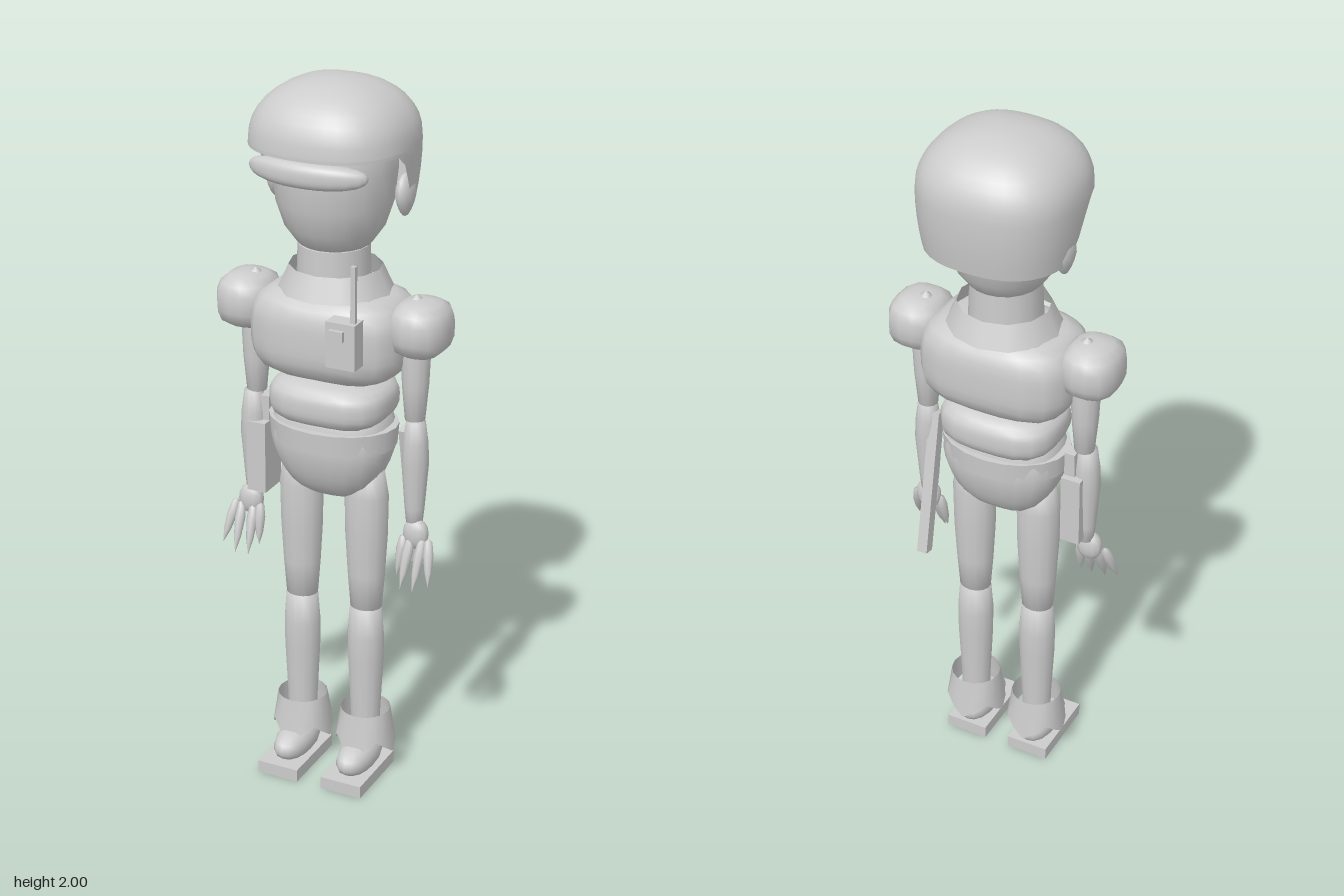
import * as THREE from 'three';
import { mergeVertices } from 'three/addons/utils/BufferGeometryUtils.js';

export function createModel() {
  const model = new THREE.Group();
  model.name = 'helmetedFigure';
  const grey = new THREE.MeshStandardMaterial({ color: 0xcccccc, side: THREE.DoubleSide });
  grey.name = 'light grey';

  const add = (name, geo, x = 0, y = 0, z = 0, parent = model) => {
    const mesh = new THREE.Mesh(geo, grey);
    mesh.name = name;
    mesh.position.set(x, y, z);
    parent.add(mesh);
    return mesh;
  };

  // Weld and smooth a geometry after its vertices were moved
  const smooth = (geo) => {
    geo.deleteAttribute('uv');
    geo.deleteAttribute('normal');
    const welded = mergeVertices(geo, 1e-5);
    welded.computeVertexNormals();
    return welded;
  };

  // Puffy block: a sphere pushed outward towards a box, with an optional taper at the bottom
  const puff = (rx, ry, rz, n = 3, taper = 0, seg = 24) => {
    const geo = new THREE.SphereGeometry(1, seg, Math.round(seg * 0.7));
    const p = geo.attributes.position;
    for (let i = 0; i < p.count; i++) {
      const [x, y, z] = [p.getX(i), p.getY(i), p.getZ(i)];
      const k = (Math.abs(x) ** n + Math.abs(y) ** n + Math.abs(z) ** n) ** (-1 / n);
      const t = 1 - taper * Math.max(0, -y * k);
      p.setXYZ(i, x * k * rx * t, y * k * ry, z * k * rz * t);
    }
    return smooth(geo);
  };

  const lathe = (pts, seg = 14) =>
    new THREE.LatheGeometry(pts.map(([r, y]) => new THREE.Vector2(r, y)), seg);

  // Tapered spindle between two points
  const spindle = (name, a, b, r, parent) => {
    const A = new THREE.Vector3(...a), B = new THREE.Vector3(...b);
    const len = A.distanceTo(B);
    const geo = lathe([[0, 0], [r * 0.75, len * 0.08], [r, len * 0.35], [r * 0.7, len * 0.7], [0, len]], 8);
    const mesh = add(name, geo, ...a, parent);
    mesh.quaternion.setFromUnitVectors(new THREE.Vector3(0, 1, 0), B.sub(A).normalize());
    return mesh;
  };

  // Head, ears and neck
  add('head', lathe([[0, 1.54], [0.07, 1.545], [0.1, 1.565], [0.132, 1.61], [0.155, 1.68],
    [0.165, 1.77], [0.16, 1.85], [0.11, 1.93], [0, 1.95]], 20));
  add('neck', new THREE.CylinderGeometry(0.095, 0.1, 0.14, 16), 0, 1.49, 0.005);

  // Helmet: dome over a wall whose lower edge drops behind the face
  const helmetRows = 14, helmetCols = 40;
  const pos = [], idx = [];
  for (let c = 0; c <= helmetCols; c++) {
    const a = (c / helmetCols) * Math.PI * 2;
    const s = Math.sin(a), k = Math.cos(a);
    const e = (Math.abs(s) ** 2.5 + Math.abs(k) ** 2.5) ** (-1 / 2.5);
    const dx = s * e * 0.213, dz = k * e * 0.208;
    const edge = 1.83 - 0.15 * (1 - THREE.MathUtils.smoothstep(dz, -0.05, 0.065));
    for (let r = 0; r <= helmetRows; r++) {
      let f, y;
      if (r < 4) {
        y = THREE.MathUtils.lerp(edge, 1.84, r / 4);
        f = 1 - 0.07 * ((1.84 - y) / 0.16) ** 2;
      } else {
        const t = ((r - 4) / (helmetRows - 4)) * Math.PI / 2;
        f = Math.cos(t) ** 0.92;
        if (r === helmetRows) f = 0;
        y = 1.84 + 0.16 * Math.sin(t) ** 0.92;
      }
      pos.push(dx * f, y, dz * f - 0.003);
      if (c < helmetCols && r < helmetRows) {
        const i = c * (helmetRows + 1) + r, j = i + helmetRows + 1;
        idx.push(i, j, i + 1, j, j + 1, i + 1);
      }
    }
  }
  const helmetGeo = new THREE.BufferGeometry();
  helmetGeo.setAttribute('position', new THREE.Float32BufferAttribute(pos, 3));
  helmetGeo.setIndex(idx);
  const helmet = mergeVertices(helmetGeo, 1e-5);
  helmet.computeVertexNormals();
  add('helmet', helmet);

  // Goggles: a rounded bar bowed around the brow
  const bar = puff(0.165, 0.034, 0.032, 2.6, 0, 24);
  const bp = bar.attributes.position;
  for (let i = 0; i < bp.count; i++) bp.setZ(i, bp.getZ(i) - 0.03 * (bp.getX(i) / 0.165) ** 2);
  bar.computeVertexNormals();
  add('goggles', bar, 0, 1.79, 0.18);

  // Torso
  const collar = add('collar', new THREE.CylinderGeometry(0.125, 0.155, 0.065, 12, 1, true), 0, 1.465, -0.005);
  collar.scale.z = 0.95;
  add('chest', puff(0.215, 0.127, 0.15, 3.5), 0, 1.32, 0);
  add('abdomen', puff(0.165, 0.067, 0.135, 3.2), 0, 1.13, 0.003);
  const belt = add('belt', new THREE.CylinderGeometry(0.183, 0.178, 0.06, 20), 0, 1.037, 0.007);
  belt.scale.z = 0.74;
  add('hips', puff(0.168, 0.155, 0.12, 2.8, 0.25), 0, 1.0, 0.005);

  // Limbs, built once per side
  for (const side of [-1, 1]) {
    const label = side > 0 ? 'left' : 'right';
    add(label + 'Ear', puff(0.024, 0.058, 0.043, 2, 0.3, 12), side * 0.185, 1.703, -0.032);

    const arm = new THREE.Group();
    arm.name = label + 'Arm';
    arm.position.x = side * 0.235;
    model.add(arm);
    add('shoulderPad', puff(0.078, 0.075, 0.09, 3, 0, 14), side * 0.017, 1.365, 0.005, arm);
    add('upperArm', lathe([[0, 1.1], [0.027, 1.1], [0.036, 1.2], [0.04, 1.3], [0.03, 1.41], [0.015, 1.44], [0, 1.45]], 12), 0, 0, 0, arm);
    add('forearm', lathe([[0, 0.79], [0.022, 0.8], [0.027, 0.85], [0.037, 0.98], [0.034, 1.04], [0.026, 1.1], [0, 1.105]], 12),
      side * 0.006, 0, 0.008, arm);
    add('palm', puff(0.036, 0.043, 0.024, 2.3, 0, 12), side * 0.014, 0.775, 0.016, arm);
    [[-0.034, -0.036, 0.655, 0.05], [-0.012, -0.014, 0.63, 0.075],
      [0.026, 0.024, 0.63, 0.08], [0.045, 0.066, 0.65, 0.07]].forEach(([x0, x1, y, z], i) =>
      spindle('finger' + (i + 1), [side * (x0 * 0.9 + 0.014), 0.772, 0.022], [side * (x1 + 0.01), y, z], 0.015, arm));

    const leg = new THREE.Group();
    leg.name = label + 'Leg';
    leg.position.x = side * 0.098;
    model.add(leg);
    const thigh = add('thigh', lathe([[0, 0.515], [0.045, 0.52], [0.053, 0.62], [0.06, 0.74], [0.062, 0.86], [0.05, 0.93], [0, 0.95]]), 0, 0, 0.006, leg);
    const shin = add('shin', lathe([[0.04, 0.06], [0.043, 0.2], [0.051, 0.36], [0.052, 0.43], [0.045, 0.52], [0, 0.525]]), 0, 0, 0.006, leg);
    thigh.scale.z = 0.88;
    shin.scale.z = 0.92;

    // Boot cuff with a zigzag hem
    const cuff = new THREE.CylinderGeometry(0.07, 0.085, 0.11, 16, 1, true);
    const cp = cuff.attributes.position;
    for (let i = 0; i < cp.count; i++) {
      if (cp.getY(i) < 0) cp.setY(i, (i % 17) % 4 === 0 ? -0.07 : (i % 17) % 2 ? -0.045 : -0.02);
    }
    cuff.computeVertexNormals();
    add('bootCuff', cuff, 0, 0.145, 0.005, leg);
    add('shoe', puff(0.05, 0.045, 0.1, 2.3, 0, 16), 0, 0.065, 0.043, leg);
    add('sole', new THREE.BoxGeometry(0.122, 0.036, 0.22), 0, 0.02, 0.055, leg);
  }

  // Chest radio
  const radio = new THREE.Group();
  radio.name = 'radio';
  model.add(radio);
  add('radioBody', new THREE.BoxGeometry(0.083, 0.125, 0.05), 0.113, 1.355, 0.175, radio);
  add('radioButton', new THREE.BoxGeometry(0.04, 0.028, 0.012), 0.105, 1.385, 0.205, radio);
  add('antenna', new THREE.BoxGeometry(0.013, 0.16, 0.013), 0.142, 1.49, 0.18, radio);

  // Holster on the right hip
  const holster = new THREE.Group();
  holster.name = 'holster';
  model.add(holster);
  add('holsterCase', new THREE.BoxGeometry(0.056, 0.205, 0.09), -0.217, 0.917, 0, holster);
  add('holsterGrip', new THREE.BoxGeometry(0.03, 0.08, 0.045), -0.205, 1.05, -0.005, holster);

  // Baton hung on the left hip, slanting backwards
  const baton = add('baton', new THREE.BoxGeometry(0.03, 0.43, 0.032), 0.213, 0.86, -0.035);
  baton.rotation.x = 0.2;

  return model;
}
